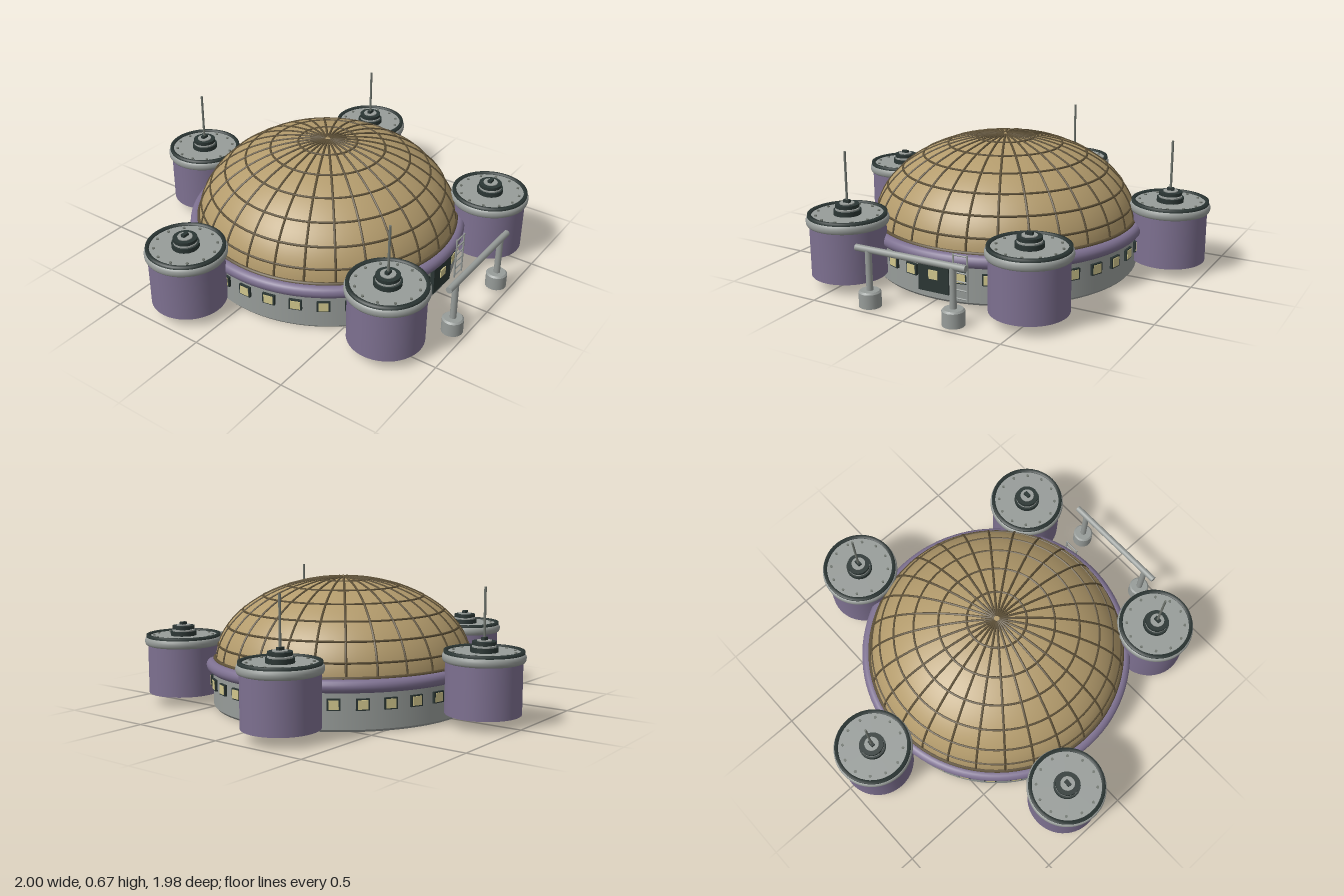
import * as THREE from 'three';

const CZ = 0.045; // centre of the dome in z
const mat = (name, color) => {
  const m = new THREE.MeshStandardMaterial({ color });
  m.name = name;
  return m;
};

export function createModel() {
  const M = {
    tan: mat('dome tan', 0xb39b6c),
    rib: mat('rib brown', 0x5c4f36),
    purple: mat('dusty purple', 0x7d7090),
    grey: mat('light grey', 0x979c99),
    dark: mat('dark green grey', 0x2b3634),
    steel: mat('antenna steel', 0x70766f),
    glass: mat('window yellow', 0xd0c68c),
  };
  const model = new THREE.Group();
  const add = (parent, name, geo, material, x = 0, y = 0, z = 0) => {
    const mesh = new THREE.Mesh(geo, material);
    mesh.name = name;
    mesh.position.set(x, y, z);
    parent.add(mesh);
    return mesh;
  };
  const group = (parent, name, x = 0, y = 0, z = 0) => {
    const g = new THREE.Group();
    g.name = name;
    g.position.set(x, y, z);
    parent.add(g);
    return g;
  };
  // cylinder given by its bottom and top heights
  const cyl = (r, y0, y1, seg = 48, rTop = r) =>
    new THREE.CylinderGeometry(rTop, r, y1 - y0, seg).translate(0, (y0 + y1) / 2, 0);
  const ring = (r, tube, seg = 96, sides = 8) =>
    new THREE.TorusGeometry(r, tube, sides, seg).rotateX(Math.PI / 2);

  // Main hall: drum wall with a bevelled foot and a purple belt
  const hall = group(model, 'hall', 0, 0, CZ);
  add(hall, 'foot', cyl(0.67, 0, 0.012, 96, 0.68), M.grey);
  add(hall, 'wall', cyl(0.68, 0.012, 0.23, 96), M.grey);
  add(hall, 'belt', ring(0.682, 0.032, 96, 16), M.purple, 0, 0.218, 0);

  // Dome: half ellipsoid with a net of ribs
  const R = 0.667, H = 0.438, Y0 = 0.222, RINGS = 7, MERIDIANS = 28;
  const dome = group(hall, 'dome', 0, Y0, 0);
  const shell = new THREE.SphereGeometry(1, 84, 28, 0, Math.PI * 2, 0, Math.PI / 2).scale(R, H, R);
  add(dome, 'domeShell', shell, M.tan);
  const arc = [];
  for (let i = 0; i <= 14; i++) {
    const a = 0.02 + (i / 14) * (Math.PI / 2 - 0.02);
    arc.push(new THREE.Vector3(0, H * Math.cos(a), R * Math.sin(a)));
  }
  const ribGeo = new THREE.TubeGeometry(new THREE.CatmullRomCurve3(arc), 28, 0.006, 6);
  for (let i = 0; i < MERIDIANS; i++) {
    add(dome, 'meridianRib', ribGeo, M.rib).rotation.y = (i / MERIDIANS) * Math.PI * 2;
  }
  for (let i = 1; i < RINGS; i++) {
    const a = (i / RINGS) * Math.PI / 2;
    add(dome, 'ringRib', ring(R * Math.sin(a), 0.006, 84, 6), M.rib, 0, H * Math.cos(a), 0);
  }
  add(dome, 'domeBaseRing', ring(0.668, 0.01), M.rib, 0, 0.028, 0);

  // Windows all round the wall
  const frameGeo = new THREE.BoxGeometry(0.064, 0.056, 0.03);
  const paneGeo = new THREE.BoxGeometry(0.048, 0.044, 0.006);
  for (let i = 0; i < 32; i++) {
    const w = group(hall, 'window', 0, 0.133, 0);
    w.rotation.y = (i / 32) * Math.PI * 2;
    add(w, 'windowFrame', frameGeo, M.dark, 0, 0, 0.677);
    add(w, 'windowPane', paneGeo, M.glass, 0, 0, i === 0 ? 0.699 : 0.692);
  }

  // Front door panel around the middle window
  add(hall, 'door', new THREE.BoxGeometry(0.166, 0.145, 0.03), M.dark, 0, 0.118, 0.682);

  // Ladder beside the door
  const ladder = group(model, 'ladder', 0.153, 0, 0.75);
  for (const s of [-1, 1]) {
    add(ladder, 'ladderRail', cyl(0.005, 0.035, 0.262, 8), M.grey, s * 0.037, 0, 0);
  }
  const rungGeo = new THREE.CylinderGeometry(0.004, 0.004, 0.074, 8).rotateZ(Math.PI / 2);
  for (let i = 0; i < 6; i++) add(ladder, 'ladderRung', rungGeo, M.grey, 0, 0.045 + i * 0.042, 0);

  // Five round towers in a pentagon; three carry antennas
  const rimProfile = [[0, 0.303], [0.184, 0.303], [0.194, 0.307], [0.199, 0.316], [0.2, 0.326],
    [0.199, 0.336], [0.194, 0.345], [0.184, 0.349], [0, 0.349]].map(([x, y]) => new THREE.Vector2(x, y));
  const geo = {
    body: cyl(0.185, 0.053, 0.31),
    rim: new THREE.LatheGeometry(rimProfile.slice(1, 8), 48),
    lid: cyl(0.184, 0.34, 0.351),
    edge: new THREE.LatheGeometry([[0.174, 0.346], [0.174, 0.36], [0.192, 0.36], [0.192, 0.346]]
      .map(([x, y]) => new THREE.Vector2(x, y)).reverse(), 48),
    stud: cyl(0.007, 0.351, 0.357, 8),
    hubBase: cyl(0.067, 0.351, 0.374, 32),
    hubPlate: cyl(0.058, 0.374, 0.381, 32),
    hubNeck: cyl(0.042, 0.381, 0.388, 32),
    hubCap: cyl(0.058, 0.385, 0.402, 32),
    hubTop: cyl(0.036, 0.402, 0.407, 32),
    block: new THREE.BoxGeometry(0.034, 0.018, 0.02),
    antenna: cyl(0.006, 0.41, 0.66, 10),
  };
  M.edge = M.dark.clone();
  M.edge.name = 'rim edge dark';
  M.edge.side = THREE.DoubleSide;
  for (let i = 0; i < 5; i++) {
    const a = Math.PI + (i / 5) * Math.PI * 2;
    const t = group(model, 'tower', 0.841 * Math.sin(a), 0, CZ + 0.841 * Math.cos(a));
    add(t, 'towerBody', geo.body, M.purple);
    add(t, 'towerRim', geo.rim, M.grey);
    add(t, 'towerLid', geo.lid, M.grey);
    add(t, 'lidEdge', geo.edge, M.edge);
    for (let k = 0; k < 12; k++) {
      const b = ((k + 0.5) / 12) * Math.PI * 2;
      add(t, 'lidStud', geo.stud, M.steel, 0.152 * Math.sin(b), 0, 0.152 * Math.cos(b));
    }
    add(t, 'hubBase', geo.hubBase, M.dark);
    add(t, 'hubPlate', geo.hubPlate, M.grey);
    add(t, 'hubNeck', geo.hubNeck, M.dark);
    add(t, 'hubCap', geo.hubCap, M.dark);
    add(t, 'hubTop', geo.hubTop, M.grey);
    add(t, 'hubBlock', geo.block, M.dark, 0, 0.412, 0);
    const x = t.position.x;
    const bare = (x > 0.3 && x < 0.6) || x < -0.6;
    if (!bare) add(t, 'antenna', geo.antenna, M.steel);
  }

  // Gate in front of the door: two footed posts and a crossbar
  const gate = group(model, 'gate', 0, 0, 0.93);
  for (const s of [-1, 1]) {
    add(gate, 'postFoot', cyl(0.053, 0.004, 0.074, 24), M.grey, s * 0.225, 0, 0);
    add(gate, 'postFootTop', cyl(0.053, 0.074, 0.082, 24, 0.045), M.grey, s * 0.225, 0, 0);
    add(gate, 'post', cyl(0.016, 0.08, 0.278, 16), M.grey, s * 0.225, 0, 0);
  }
  const bar = new THREE.CylinderGeometry(0.016, 0.016, 0.585, 16).rotateZ(Math.PI / 2);
  add(gate, 'crossbar', bar, M.grey, 0, 0.278, 0);

  return model;
}
